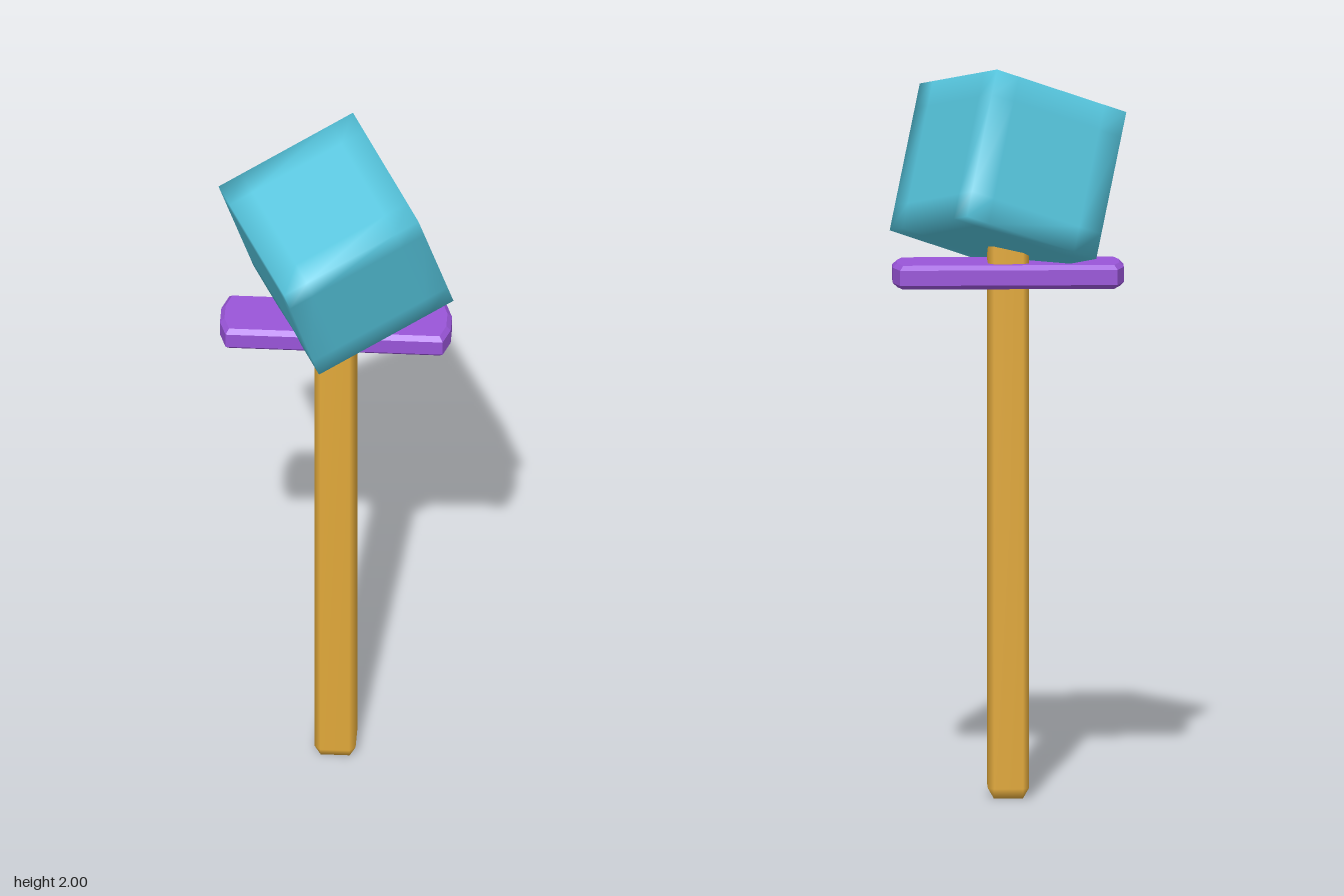
import * as THREE from 'three';
import { mergeVertices } from 'three/addons/utils/BufferGeometryUtils.js';
import { ConvexGeometry } from 'three/addons/geometries/ConvexGeometry.js';

const mat = (color) => new THREE.MeshStandardMaterial({ color });

// weld and share normals so narrow edges shade softly
function smooth(geometry) {
  geometry.deleteAttribute('normal');
  geometry.deleteAttribute('uv');
  const welded = mergeVertices(geometry, 1e-4);
  welded.computeVertexNormals();
  return welded;
}

// box with all edges chamfered; h = half sizes, c = chamfer per axis
function chamferBox(h, c) {
  const points = [];
  for (let axis = 0; axis < 3; axis++)
    for (const sx of [-1, 1]) for (const sy of [-1, 1]) for (const sz of [-1, 1]) {
      const s = [sx, sy, sz];
      points.push(new THREE.Vector3(...h.map((v, i) => s[i] * (i === axis ? v : v - c[i]))));
    }
  return smooth(new ConvexGeometry(points));
}

// sharp cube with support loops near its edges, softly shaded
function softCube(size, inset) {
  const g = new THREE.BoxGeometry(size, size, size, 3, 3, 3);
  const h = size / 2;
  const p = g.attributes.position;
  const move = (v) => (Math.abs(v) > h * 0.9 ? v : Math.sign(v) * (h - inset));
  for (let i = 0; i < p.count; i++) p.setXYZ(i, move(p.getX(i)), move(p.getY(i)), move(p.getZ(i)));
  return smooth(g);
}

export function createModel() {
  const group = new THREE.Group();
  const add = (name, geometry, color) => {
    const mesh = new THREE.Mesh(geometry, mat(color));
    mesh.name = name;
    group.add(mesh);
    return mesh;
  };

  // square handle, running up into the head
  const top = 1.6;
  add('handle', chamferBox([0.055, top / 2, 0.055], [0.016, 0.028, 0.016]), 0xe0a83a)
    .position.y = top / 2;

  // flat crossguard with clipped corners
  const bevel = 0.012;
  const plan = new THREE.Shape(
    [[0.31, 0.04], [0.295, 0.085], [-0.295, 0.085], [-0.31, 0.04],
      [-0.31, -0.04], [-0.295, -0.085], [0.295, -0.085], [0.31, -0.04]]
      .map(([x, z]) => new THREE.Vector2(x - Math.sign(x) * bevel, z - Math.sign(z) * bevel)));
  const guardGeometry = new THREE.ExtrudeGeometry(plan, {
    depth: 0.065 - 2 * bevel, bevelEnabled: true, bevelSize: bevel, bevelThickness: bevel, bevelSegments: 1,
  });
  guardGeometry.rotateX(-Math.PI / 2);
  add('crossguard', guardGeometry, 0x9955d8).position.y = 1.388 + bevel;

  // tilted cube head
  const head = add('head', softCube(0.412, 0.07), 0x55c4dc);
  const u = new THREE.Vector3(0.35, 0.142, -0.16).normalize();
  const w = new THREE.Vector3(-0.09, 0.376, 0.15);
  const v = new THREE.Vector3().crossVectors(u, w).normalize();
  w.crossVectors(v, u);
  head.quaternion.setFromRotationMatrix(new THREE.Matrix4().makeBasis(u, w, v));
  head.position.y = 1.697;

  return group;
}
